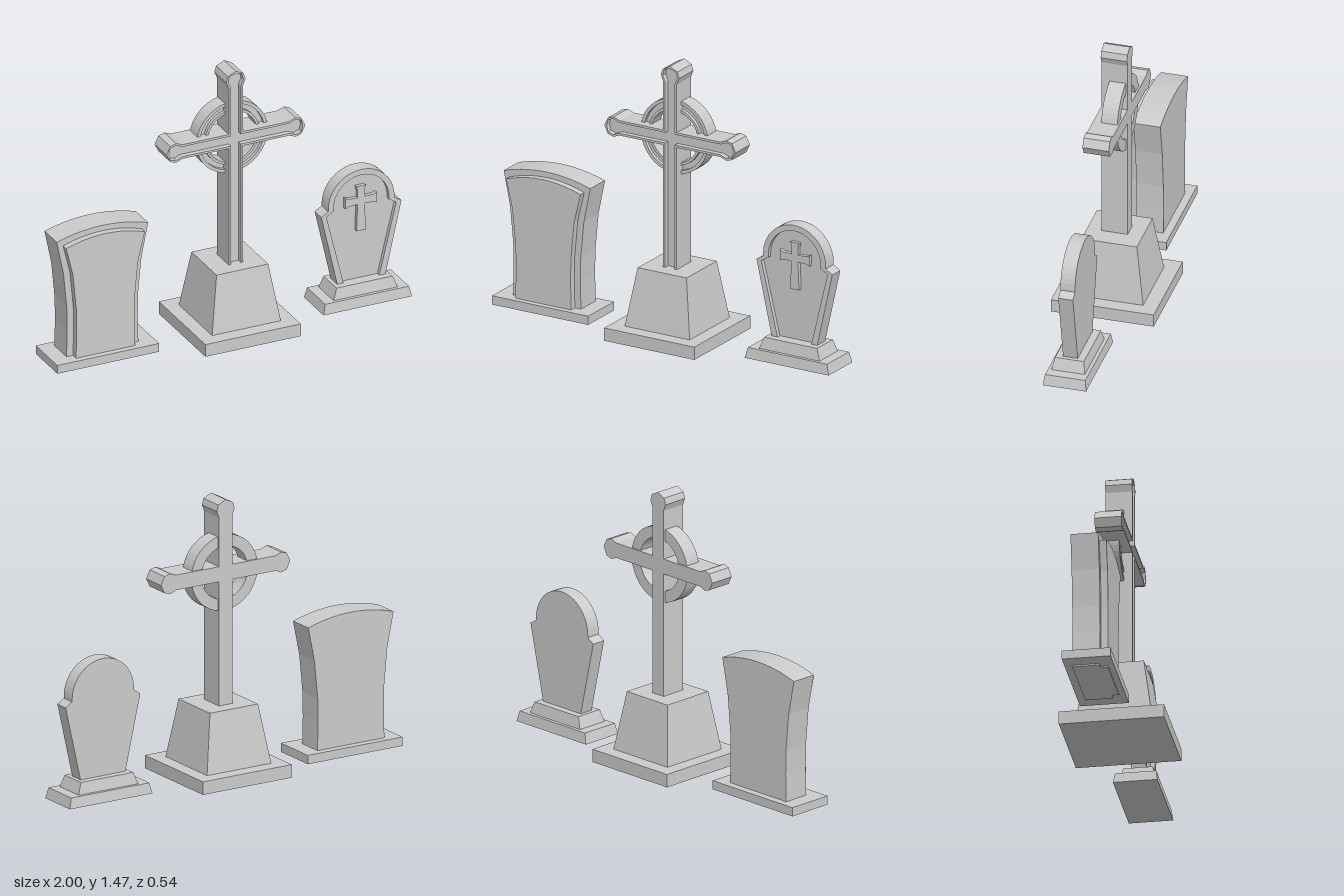
import * as THREE from 'three';

const mat = new THREE.MeshStandardMaterial({ color: 0xcccccc, flatShading: true, side: THREE.DoubleSide });

function add(group, name, geometry) {
  const mesh = new THREE.Mesh(geometry, mat);
  mesh.name = name;
  group.add(mesh);
  return mesh;
}

// Plate cut from a closed outline, spanning z0 to z1
function plate(points, z0, z1, hole) {
  const shape = new THREE.Shape(points.map(([x, y]) => new THREE.Vector2(x, y)));
  if (hole) shape.holes.push(new THREE.Path(hole.map(([x, y]) => new THREE.Vector2(x, y))));
  const g = new THREE.ExtrudeGeometry(shape, { depth: z1 - z0, bevelEnabled: false });
  return g.translate(0, 0, z0);
}

// Right half (bottom to top) mirrored into a full outline
const mirror = (half) => [
  ...half,
  ...half.filter(([x]) => x > 1e-6).reverse().map(([x, y]) => [-x, y]),
];

// Border strip between two outlines, open at the bottom
const border = (outer, inner) => [...outer, ...inner.slice().reverse()];

// Four-sided block whose top differs in size; half-widths and half-depths given
function block(y0, y1, w0, d0, w1 = w0, d1 = d0, z = 0) {
  const g = new THREE.BoxGeometry(2, y1 - y0, 2).translate(0, (y0 + y1) / 2, 0);
  const p = g.attributes.position;
  for (let i = 0; i < p.count; i++) {
    const top = p.getY(i) > (y0 + y1) / 2;
    p.setX(i, p.getX(i) * (top ? w1 : w0));
    p.setZ(i, p.getZ(i) * (top ? d1 : d0) + z);
  }
  g.computeVertexNormals();
  return g;
}

const circle = (r, n = 40) => Array.from({ length: n }, (_, i) => {
  const a = (i / n) * Math.PI * 2;
  return [r * Math.cos(a), r * Math.sin(a)];
});

// Waisted slab with a shallow arched top and a raised front panel
function archedHeadstone() {
  const g = new THREE.Group();
  g.name = 'archedHeadstone';
  const outline = (d, shoulder, crown) => {
    const w = 0.257 - d;
    const half = [[0.203 - d, 0], [0.198 - d, 0.2], [0.2 - d, 0.33], [0.219 - d, 0.53]];
    for (let i = 0; i <= 5; i++) {
      const t = 1 - i / 5;
      half.push([w * t, crown - (crown - shoulder) * t * t]);
    }
    return mirror(half);
  };
  add(g, 'slab', plate(outline(0, 0.715, 0.755), -0.09, 0.052));
  add(g, 'raisedPanel', plate(outline(0.036, 0.687, 0.725), 0.052, 0.088));
  add(g, 'base', block(0.008, 0.055, 0.286, 0.125, 0.286, 0.125, -0.005));
  g.position.x = -0.713;
  return g;
}

// Tall ringed cross on a tapered plinth
function ringedCross() {
  const g = new THREE.Group();
  g.name = 'ringedCross';
  const c = 1.083;
  const outline = (d) => {
    const w = 0.04 - d;
    // [distance from centre, half-width] of the flared arm end
    const end = [[0.3, w], [0.335, 0.054 - d], [0.368, 0.044 - d * 0.9]];
    const tip = 0.39 - d * 1.2;
    return mirror([
      [w, 0.37], [w, c - w],
      ...end.map(([a, h]) => [a, c - h]),
      [tip, c],
      ...end.slice().reverse().map(([a, h]) => [a, c + h]),
      [w, c + w],
      ...end.map(([a, h]) => [h, c + a]),
      [0, c + tip],
    ]);
  };
  const outer = outline(0), inner = outline(0.012);
  add(g, 'crossBody', plate(outer, -0.068, 0.042));
  add(g, 'crossRim', plate(border(outer, inner), 0.042, 0.07));

  // Ring with a groove between two rims
  const rings = [
    ['ring', 0.2, 0.14, -0.058, 0.008],
    ['ringOuterRim', 0.2, 0.182, 0.008, 0.027],
    ['ringInnerRim', 0.154, 0.14, 0.008, 0.027],
  ];
  for (const [name, r1, r0, z0, z1] of rings) {
    add(g, name, plate(circle(r1), z0, z1, circle(r0))).position.y = c;
  }
  add(g, 'plinth', block(0.075, 0.385, 0.193, 0.193, 0.145, 0.146));
  add(g, 'plinthSlab', block(0.006, 0.075, 0.268, 0.27));
  g.position.x = 0.028;
  return g;
}

// Round-topped tapering stone with a recessed face and a small relief cross
function roundHeadstone() {
  const g = new THREE.Group();
  g.name = 'roundHeadstone';
  const outline = (foot, shoulder, shoulderY, r) => {
    const half = [[foot, 0.11], [shoulder, shoulderY], [r, shoulderY + 0.025]];
    for (let i = 0; i <= 10; i++) {
      const a = (i / 10) * Math.PI / 2;
      half.push([r * Math.cos(a), 0.56 + r * Math.sin(a)]);
    }
    return mirror(half);
  };
  const outer = outline(0.132, 0.225, 0.522, 0.186);
  const inner = outline(0.097, 0.196, 0.518, 0.155);
  add(g, 'stone', plate(outer, -0.038, 0.016));
  add(g, 'stoneRim', plate(border(outer, inner), 0.016, 0.039));
  add(g, 'reliefCross', plate(mirror([
    [0.026, 0.4], [0.02, 0.55], [0.068, 0.548], [0.088, 0.54],
    [0.088, 0.598], [0.068, 0.59], [0.02, 0.588], [0.02, 0.63], [0.026, 0.652],
  ]), 0.016, 0.037));
  add(g, 'upperBase', block(0.063, 0.125, 0.18, 0.088, 0.157, 0.076));
  add(g, 'lowerBase', block(0.008, 0.064, 0.249, 0.114, 0.235, 0.106));
  g.position.x = 0.748;
  return g;
}

export function createModel() {
  const model = new THREE.Group();
  model.name = 'gravestones';
  model.add(archedHeadstone(), ringedCross(), roundHeadstone());
  return model;
}
